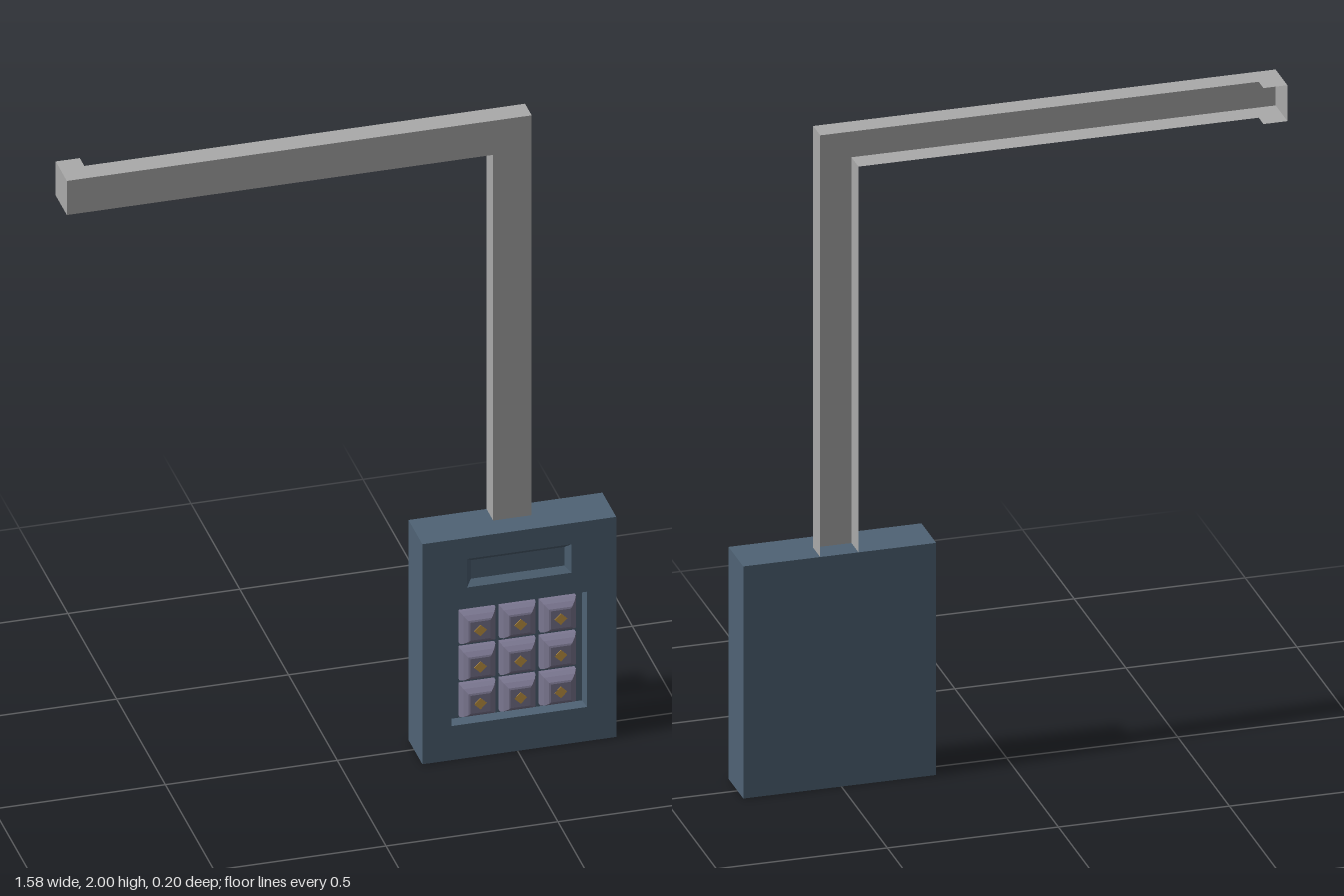
import * as THREE from 'three';

const mat = (name, color, extra = {}) => {
  const m = new THREE.MeshStandardMaterial({ color, ...extra });
  m.name = name;
  return m;
};

// Shape or hole outline of a rectangle
const rect = (x0, y0, x1, y1) => [[x0, y0], [x1, y0], [x1, y1], [x0, y1]];
const toVectors = (pts) => pts.map(([x, y]) => new THREE.Vector2(x, y));

export function createModel() {
  const model = new THREE.Group();
  const bodyBlue = mat('slate blue', 0x4f6375);
  const recessBlue = mat('slate blue recess', 0x4f6375, { side: THREE.DoubleSide });
  const steel = mat('grey steel', 0xaaaaaa, { side: THREE.DoubleSide });
  const keyLilac = mat('key lilac', 0x7d7993);
  const gold = mat('mark gold', 0xc79a45);

  const add = (parent, name, geometry, material, x = 0, y = 0, z = 0) => {
    const mesh = new THREE.Mesh(geometry, material);
    mesh.name = name;
    mesh.position.set(x, y, z);
    parent.add(mesh);
    return mesh;
  };

  // Housing: solid back with a pierced front plate
  const L = 0.223, R = 0.787, H = 0.71, BACK = -0.056, MID = 0.055, FRONT = 0.086;
  const housing = new THREE.Group();
  housing.name = 'housing';
  model.add(housing);
  add(housing, 'housingBack', new THREE.BoxGeometry(R - L, H, MID - BACK), bodyBlue,
    (L + R) / 2, H / 2, (BACK + MID) / 2);

  const screen = [0.353, 0.55, 0.657, 0.642];
  const keypad = [0.308, 0.11, 0.702, 0.482];
  const plate = new THREE.Shape(toVectors(rect(L, 0, R, H)));
  for (const hole of [screen, keypad]) plate.holes.push(new THREE.Path(toVectors(rect(...hole))));
  add(housing, 'frontPlate',
    new THREE.ExtrudeGeometry(plate, { depth: FRONT - MID, bevelEnabled: false }), bodyBlue, 0, 0, MID);

  // Recess with sloping walls and a flat floor
  const addRecess = (name, [x0, y0, x1, y1], inset, depth) => {
    const outer = rect(x0, y0, x1, y1);
    const inner = rect(x0 + inset, y0 + inset, x1 - inset, y1 - inset);
    const pos = [];
    const z0 = FRONT, z1 = FRONT - depth;
    for (let i = 0; i < 4; i++) {
      const j = (i + 1) % 4;
      const a = [...outer[i], z0], b = [...outer[j], z0];
      const c = [...inner[j], z1], d = [...inner[i], z1];
      pos.push(...a, ...b, ...c, ...a, ...c, ...d);
    }
    const walls = new THREE.BufferGeometry();
    walls.setAttribute('position', new THREE.Float32BufferAttribute(pos, 3));
    walls.computeVertexNormals();
    add(housing, name + 'Walls', walls, recessBlue);
    add(housing, name + 'Floor', new THREE.ShapeGeometry(new THREE.Shape(toVectors(inner))),
      bodyBlue, 0, 0, z1);
  };
  addRecess('screenRecess', screen, 0.016, 0.018);
  addRecess('keypadRecess', keypad, 0.006, 0.03);

  // Keys: stepped, tapered square caps with a plain raised mark
  const profile = [[0.052, 0.055], [0.052, 0.07], [0.045, 0.085], [0.034, 0.098], [0.029, 0.1], [0, 0.1]];
  const lathe = new THREE.LatheGeometry(
    toVectors(profile.map(([r, h]) => [r * Math.SQRT2, h])), 4, Math.PI / 4);
  const keyGeometry = lathe.toNonIndexed().rotateX(Math.PI / 2);
  keyGeometry.computeVertexNormals();
  const markGeometry = new THREE.BoxGeometry(0.026, 0.026, 0.002).rotateZ(Math.PI / 4);
  const keys = new THREE.Group();
  keys.name = 'keys';
  model.add(keys);
  for (let row = 0; row < 3; row++) {
    for (let col = 0; col < 3; col++) {
      const x = 0.505 + (col - 1) * 0.117, y = 0.296 + (1 - row) * 0.118;
      add(keys, 'key', keyGeometry, keyLilac, x, y);
      add(keys, 'keyMark', markGeometry, gold, x, y, 0.1005);
    }
  }

  // Arm: bent sheet channel, open at the back, with a closed hooked end
  const END = -0.79, HOOK = -0.72, IN = 0.45, OUT = 0.562, LOW = 1.89, TOP = 2;
  const WEB = 0.012, HOOK_BACK = -0.102;
  const arm = new THREE.Group();
  arm.name = 'arm';
  model.add(arm);
  const sheet = (pts) => new THREE.ShapeGeometry(new THREE.Shape(toVectors(pts)));
  add(arm, 'armFace',
    sheet([[END, LOW], [IN, LOW], [IN, H], [OUT, H], [OUT, TOP], [END, TOP]]), steel, 0, 0, WEB);

  // Level flanges, drawn in x and z
  for (const [name, y, x1] of [['topFlange', TOP, OUT], ['lowerFlange', LOW, IN]]) {
    const pts = [[END, WEB], [END, HOOK_BACK], [HOOK, HOOK_BACK], [HOOK, BACK], [x1, BACK], [x1, WEB]];
    add(arm, name, sheet(pts).rotateX(Math.PI / 2), steel, 0, y);
  }
  // Upright flanges, drawn in z and y
  const uprights = [
    ['armEnd', END, LOW, TOP, HOOK_BACK],
    ['innerPostFlange', IN, H, LOW, BACK],
    ['outerPostFlange', OUT, H, TOP, BACK],
  ];
  for (const [name, x, y0, y1, zBack] of uprights) {
    add(arm, name, sheet(rect(zBack, y0, WEB, y1)).rotateY(-Math.PI / 2), steel, x);
  }

  return model;
}
